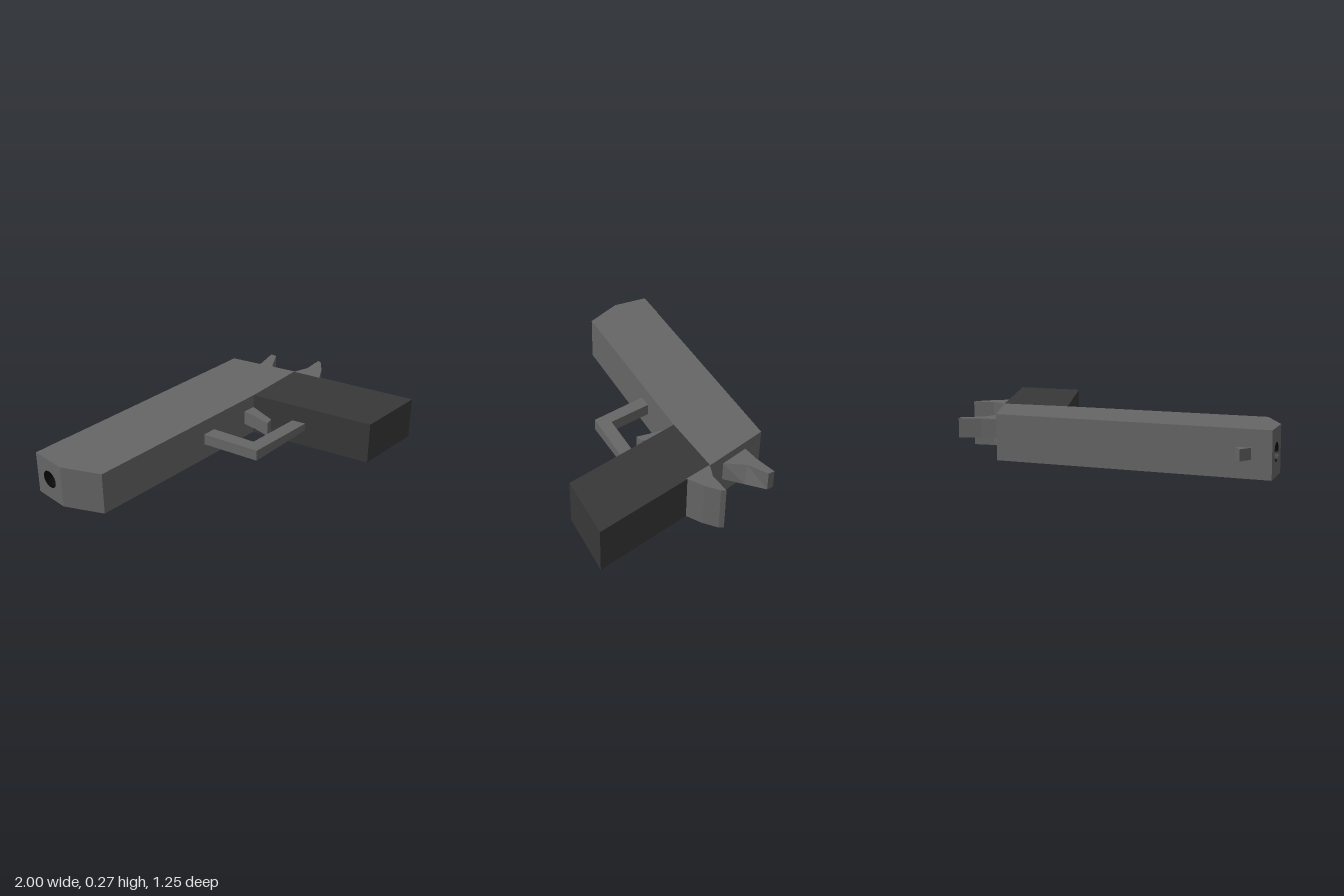
import * as THREE from 'three';

const steel = new THREE.MeshStandardMaterial({ color: 0x666666, flatShading: true });
const dark = new THREE.MeshStandardMaterial({ color: 0x383838, flatShading: true });
const black = new THREE.MeshStandardMaterial({ color: 0x080808, side: THREE.DoubleSide });

// Side profile given as [x, z] points, extruded upwards from y0 to y1
function plate(name, points, y0, y1, material) {
  const shape = new THREE.Shape(points.map(([x, z]) => new THREE.Vector2(x, z)));
  const geo = new THREE.ExtrudeGeometry(shape, { depth: y1 - y0, bevelEnabled: false });
  geo.rotateX(Math.PI / 2).translate(0, y1, 0);
  const mesh = new THREE.Mesh(geo, material);
  mesh.name = name;
  return mesh;
}

// Moves the vertices of a plate by a rule, then refreshes its normals
function reshape(mesh, rule) {
  const pos = mesh.geometry.attributes.position;
  const v = new THREE.Vector3();
  for (let i = 0; i < pos.count; i++) {
    rule(v.fromBufferAttribute(pos, i));
    pos.setXYZ(i, v.x, v.y, v.z);
  }
  mesh.geometry.computeVertexNormals();
  return mesh;
}

export function createModel() {
  const group = new THREE.Group();
  const H = 0.27, mid = 0.135, boreZ = -0.45, boreR = 0.055;

  // Slide and frame
  group.add(plate('slide', [
    [-0.8, -0.558], [0.615, -0.545], [0.76, -0.14], [0.35, -0.118], [-0.8, -0.118],
  ], 0, H, steel));
  group.add(plate('noseChamfer', [[-1, -0.34], [-0.8, -0.34], [-0.8, -0.118], [-0.88, -0.118]], 0, H, steel));

  // Muzzle block with the bore cut through it
  const face = new THREE.Shape([[0.34, 0], [0.56, 0], [0.56, H], [0.34, H]].map(p => new THREE.Vector2(...p)));
  face.holes.push(new THREE.Path().absarc(-boreZ, mid, boreR, 0, Math.PI * 2, true));
  const muzzleGeo = new THREE.ExtrudeGeometry(face, { depth: 0.2, bevelEnabled: false, curveSegments: 16 });
  const muzzle = new THREE.Mesh(muzzleGeo.rotateY(Math.PI / 2).translate(-1, 0, 0), steel);
  muzzle.name = 'muzzle';
  group.add(muzzle);

  // Dark bore lining with a closed inner end
  const boreGeo = new THREE.LatheGeometry([
    new THREE.Vector2(0, 0.19), new THREE.Vector2(boreR - 0.001, 0.19), new THREE.Vector2(boreR - 0.001, 0),
  ], 16);
  const bore = new THREE.Mesh(boreGeo.rotateZ(-Math.PI / 2).translate(-1, mid, boreZ), black);
  bore.name = 'bore';
  group.add(bore);

  // Grip
  group.add(plate('grip', [[0.35, -0.118], [0.76, -0.14], [1, 0.62], [0.58, 0.62]], 0, H, dark));

  // Full-width tail behind the grip
  group.add(plate('gripTail', [
    [0.755, -0.14], [0.85, -0.11], [0.98, -0.123], [0.97, -0.095], [0.9, -0.03], [0.807, 0.03],
  ], 0, H, steel));

  // Hammer, its inner bend showing on the upper side only
  group.add(reshape(plate('hammer', [
    [0.66, -0.42], [0.77, -0.435], [0.9, -0.47], [0.905, -0.43], [0.79, -0.36], [0.72, -0.24],
  ], 0.105, 0.22, steel), v => {
    if (v.y < 0.15 && Math.abs(v.z + 0.36) < 0.01) v.set(0.815, v.y, -0.337);
  }));

  // Trigger guard, narrowing slightly towards the grip
  group.add(reshape(plate('triggerGuard', [
    [-0.085, -0.12], [0, -0.12], [0.065, 0.15], [0.45, 0.138], [0.48, 0.22], [0.005, 0.233],
  ], 0.105, 0.175, steel), v => {
    if (v.x > 0.3) v.y = v.y > 0.14 ? 0.16 : 0.112;
  }));

  // Trigger
  group.add(plate('trigger', [
    [0.27, -0.12], [0.35, -0.12], [0.315, 0.065], [0.265, 0.08], [0.272, -0.02],
  ], 0.095, 0.185, steel));

  // Front sight
  group.add(plate('frontSight', [[-0.89, -0.555], [-0.84, -0.625], [-0.8, -0.555]], 0.105, 0.17, steel));

  return group;
}
